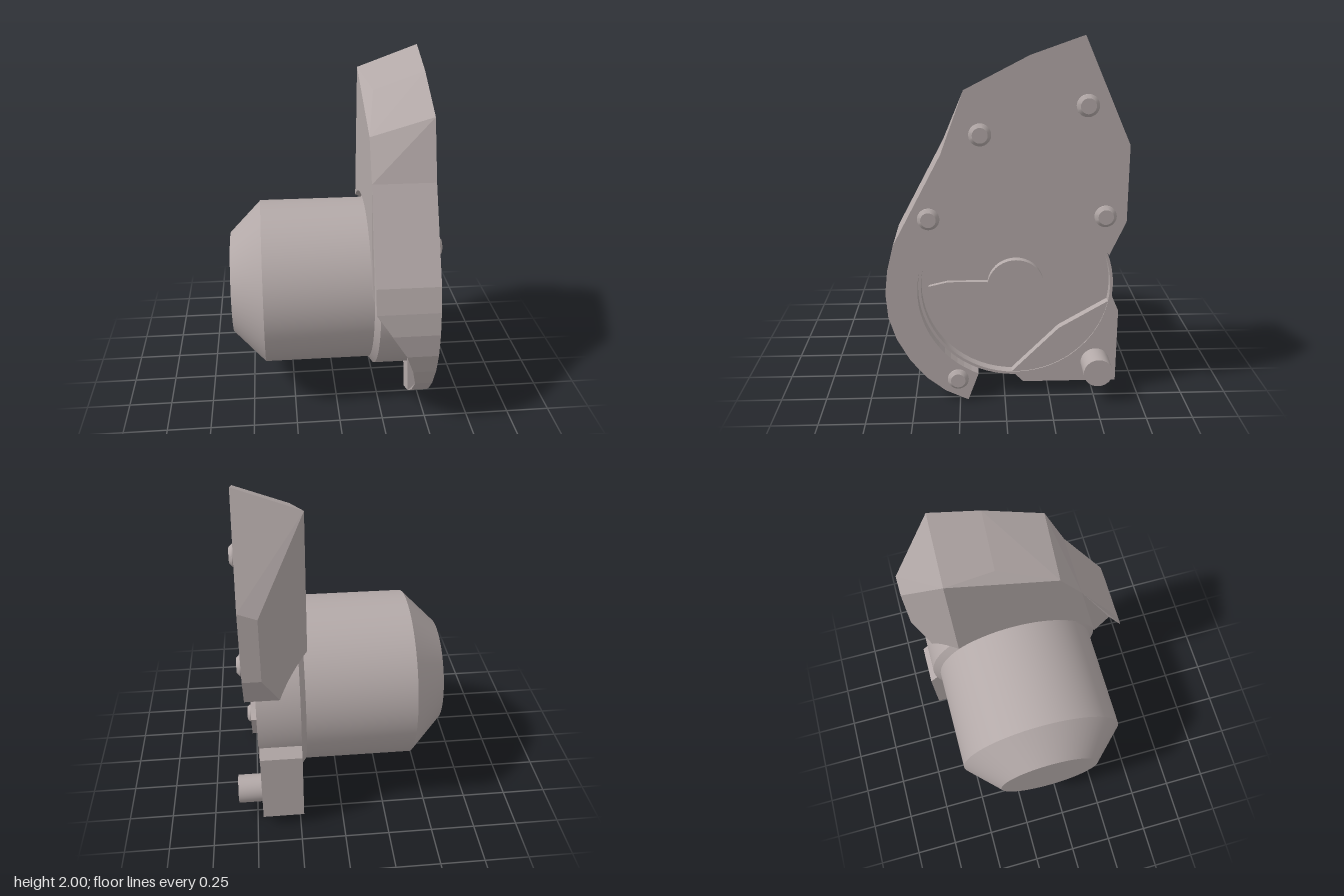
import * as THREE from 'three';
import { toCreasedNormals } from 'three/addons/utils/BufferGeometryUtils.js';

const CY = 0.65, CZ = -0.06, R = 0.53, FRONT = 0.53;

// Depth of the mounting plate's back surface
function backX(z, y) {
  if (z < -0.4) return 0.18 + (-0.4 - z) * 1.06;
  const curve = [[0, 0.43], [0.27, 0.43], [0.38, 0.4], [0.5, 0.36], [0.65, 0.27], [0.78, 0.18]];
  for (let i = 1; i < curve.length; i++) {
    const [y0, x0] = curve[i - 1], [y1, x1] = curve[i];
    if (y <= y1) return x0 + (x1 - x0) * (y - y0) / (y1 - y0);
  }
  return 0.18;
}

// Slab along x; each point is [z, y, back x, back z, back y], the last three optional
function slab(points, front, rule) {
  let pts = points;
  let contour = pts.map(p => new THREE.Vector2(-p[0], p[1]));
  if (THREE.ShapeUtils.isClockWise(contour)) {
    pts = [...pts].reverse();
    contour = contour.reverse();
  }
  const f = pts.map(([z, y]) => [front, y, z]);
  const b = pts.map(([z, y, x, bz, by]) => [x ?? rule(z, y), by ?? y, bz ?? z]);
  const pos = [];
  const tri = (p, q, r) => pos.push(...p, ...q, ...r);
  for (const [i, j, k] of THREE.ShapeUtils.triangulateShape(contour, [])) {
    tri(f[i], f[j], f[k]);
    tri(b[k], b[j], b[i]);
  }
  for (let i = 0; i < pts.length; i++) {
    const j = (i + 1) % pts.length;
    tri(f[i], b[i], b[j]);
    tri(f[i], b[j], f[j]);
  }
  const g = new THREE.BufferGeometry();
  g.setAttribute('position', new THREE.Float32BufferAttribute(pos, 3));
  g.computeVertexNormals();
  return g;
}

// Points on the round opening, angle measured from +z towards +y
function arc(a0, a1, n) {
  return Array.from({ length: n + 1 }, (_, i) => {
    const a = a0 + (a1 - a0) * i / n;
    return [CZ + R * Math.cos(a), CY + R * Math.sin(a)];
  });
}

// Solid of revolution about the x axis; profile is [radius, x]
function turned(profile, segments) {
  const g = new THREE.LatheGeometry(profile.map(p => new THREE.Vector2(...p)), segments);
  g.rotateZ(-Math.PI / 2);
  return toCreasedNormals(g, 0.5);
}

export function createModel() {
  const group = new THREE.Group();
  const metal = new THREE.MeshStandardMaterial({ color: 0xb3a9a8 });
  metal.name = 'warmGrey';
  const add = (name, geometry, x = 0, y = 0, z = 0) => {
    const mesh = new THREE.Mesh(geometry, metal);
    mesh.name = name;
    mesh.position.set(x, y, z);
    group.add(mesh);
  };

  // Motor housing with flange, rim and recessed front disc
  add('motorHousing', turned([
    [0, -0.605], [0.303, -0.605], [0.49, -0.42], [0.49, 0.2], [0.53, 0.23],
    [0.53, 0.47], [0.515, 0.47], [0.515, 0.42], [0, 0.42],
  ], 64), 0, CY, CZ);
  add('hub', turned([[0.155, 0.41], [0.155, 0.46], [0, 0.46]], 40), 0, CY, CZ);
  add('pointer', slab([
    [0.08, 0.625], [0.08, 0.675], [0.31, 0.675], [0.415, 0.65], [0.31, 0.625],
  ], 0.445, () => 0.41));

  // Mounting plate, split along the ridge of its back
  const ridge = Math.acos((-0.4 - CZ) / R);
  const wingEnd = Math.PI - 0.39;
  const lipEnd = -1.17;
  add('mountingPlate', slab([
    [0.205, 0], [0.33, 0.06], [0.43, 0.14], [0.52, 0.25], [0.59, 0.38], [0.63, 0.51],
    [0.64, 0.65], [0.625, 0.78], [0.59, 0.92], [0.33, 1.41],
    [0.21, 1.735, 0.18, 0.2, 1.63], [-0.12, 1.905, 0.24, -0.13, 1.8],
    [-0.39, 2, 0.18, -0.4, 1.87], ...arc(ridge, lipEnd, 40),
  ], FRONT, backX));
  add('plateWing', slab([
    [-0.39, 2, 0.18, -0.4, 1.87], [-0.635, 1.45, 0.43, -0.635, 1.41], [-0.635, 1.04],
    ...arc(wingEnd, ridge, 8),
  ], FRONT, backX));

  // Corner boss and its locating pin
  add('cornerBoss', slab([
    [-0.57, 0.56], [-0.627, 0.5], [-0.627, 0.07], [-0.105, 0.07], [-0.04, 0.135], [-0.3, 0.4],
  ], 0.465, () => 0.23));
  add('locatingPin', turned([[0.08, 0.45], [0.08, 0.6], [0, 0.6]], 32), 0, 0.19, -0.508);

  // Domed bolts on the plate face
  const bolt = turned([[0.058, 0.52], [0.058, 0.538], [0.04, 0.555], [0, 0.555]], 28);
  for (const [z, y] of [[0.13, 1.51], [-0.412, 1.655], [0.4, 1.067], [-0.522, 1.073], [0.26, 0.132]]) {
    add('bolt', bolt, 0, y, z);
  }
  return group;
}
